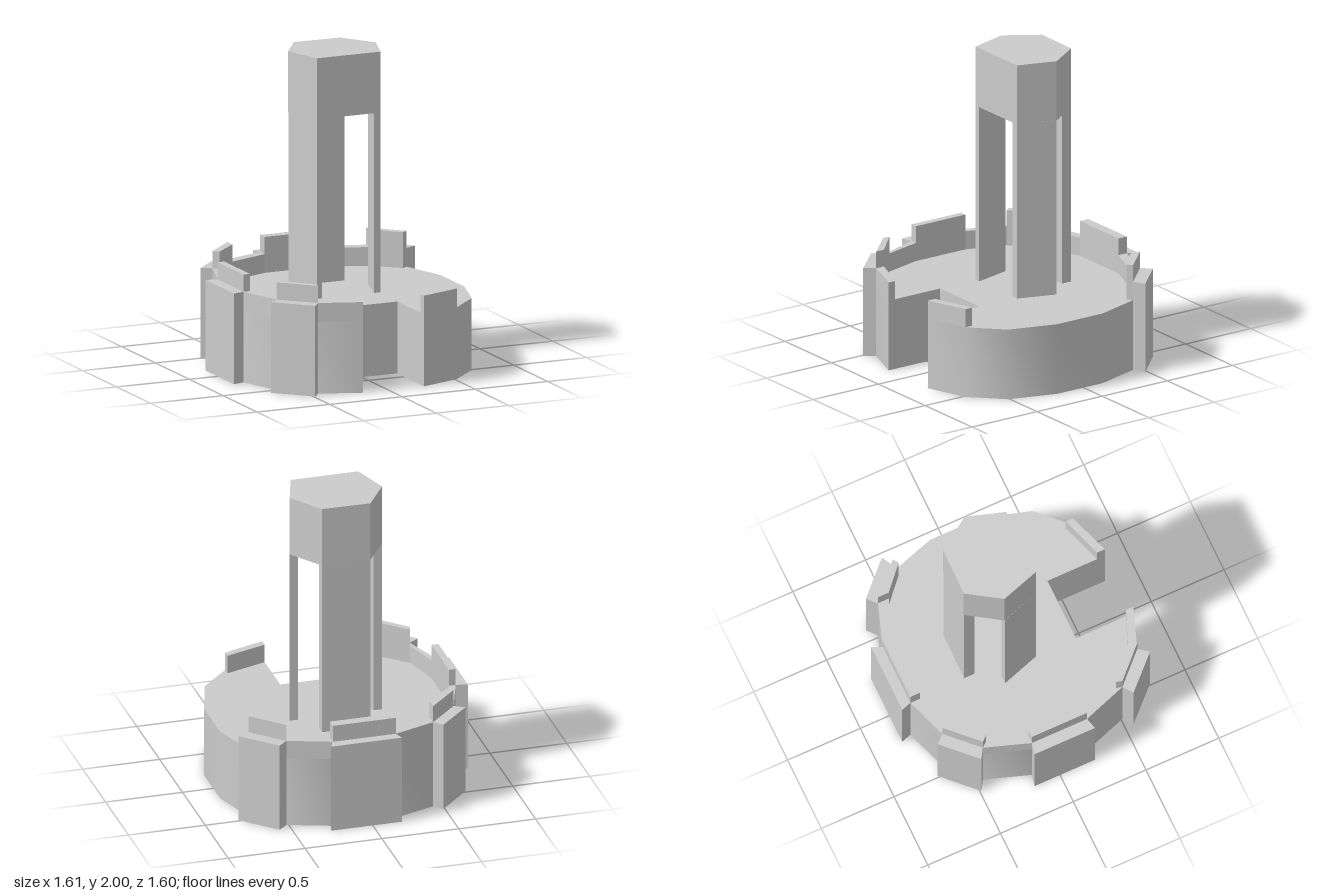
import * as THREE from 'three';
import { toCreasedNormals } from 'three/addons/utils/BufferGeometryUtils.js';

const FLOOR = 0.46, WALL = 0.58, MERLON = 0.69, ARCH = 1.61, TOP = 2;

// Upright prism from a plan of [x, z] corners
function prism(plan, y0, y1) {
  const shape = new THREE.Shape(plan.map(([x, z]) => new THREE.Vector2(x, -z)));
  const geo = new THREE.ExtrudeGeometry(shape, { depth: y1 - y0, bevelEnabled: false });
  return geo.rotateX(-Math.PI / 2).translate(0, y0, 0);
}

// Use rounded normals on the plain curved flank only, leave the rest faceted
function roundFlank(geo) {
  const smooth = toCreasedNormals(geo, 0.6).attributes.normal;
  const { position: p, normal: n } = geo.attributes;
  for (let i = 0; i < p.count; i += 3) {
    const cx = (p.getX(i) + p.getX(i + 1) + p.getX(i + 2)) / 3;
    const cz = (p.getZ(i) + p.getZ(i + 1) + p.getZ(i + 2)) / 3;
    if (Math.abs(n.getY(i)) > 0.5 || cx < 0.3 || cz < -0.45) continue;
    for (let k = i; k < i + 3; k++) n.setXYZ(k, smooth.getX(k), smooth.getY(k), smooth.getZ(k));
  }
  return geo;
}

export function createModel() {
  const group = new THREE.Group();
  const material = new THREE.MeshStandardMaterial({ color: 0xcccccc });
  const add = (name, geo) => {
    const mesh = new THREE.Mesh(geo, material);
    mesh.name = name;
    group.add(mesh);
  };

  // Walled side of the plan, from the notch round the left and back
  const outer = [[-0.175, 0.795], [-0.44, 0.7], [-0.63, 0.51], [-0.73, 0.22], [-0.73, -0.16],
    [-0.63, -0.45], [-0.44, -0.64], [-0.17, -0.735], [0.24, -0.735], [0.515, -0.64], [0.705, -0.45]];
  const inner = [[-0.175, 0.745], [-0.44, 0.64], [-0.62, 0.47], [-0.685, 0.22], [-0.685, -0.16],
    [-0.6, -0.415], [-0.44, -0.565], [-0.17, -0.67], [0.24, -0.67], [0.515, -0.565], [0.67, -0.425]];
  // Open side of the plan and the entrance notch
  const flank = [[0.8, -0.15], [0.8, 0.2], [0.705, 0.51], [0.515, 0.7], [0.245, 0.795]];
  const notch = [[0.245, 0.4], [-0.175, 0.4]];

  // Base and parapets
  add('base', roundFlank(prism([...outer, ...flank, ...notch], 0, FLOOR)));
  add('parapet', prism([...outer, ...[...inner].reverse()], FLOOR, WALL));
  add('parapetStub', prism([[0.245, 0.795], [0.515, 0.7], [0.515, 0.65], [0.245, 0.74]], FLOOR, WALL));

  // Flared buttresses with a merlon above, keyed by wall face
  const flares = {
    1: [[-0.49, 0.765], [-0.695, 0.555]],
    3: [[-0.805, 0.24], [-0.805, -0.175]],
    5: [[-0.695, -0.49], [-0.49, -0.695]],
    7: [[-0.19, -0.8], [0.27, -0.8]],
    9: [[0.575, -0.695], [0.78, -0.49]],
  };
  for (const [key, [a, b]] of Object.entries(flares)) {
    const i = Number(key);
    add('buttress', prism([outer[i], a, b, outer[i + 1]], 0, WALL));
    add('merlon', prism([outer[i], outer[i + 1], inner[i + 1], inner[i]], WALL, MERLON));
  }

  // Tower: hexagonal head on two side pillars and a back post
  add('towerHead', prism([[-0.12, -0.345], [0.195, -0.34], [0.34, -0.125], [0.26, 0.123],
    [-0.18, 0.123], [-0.26, -0.13]], ARCH, TOP));
  add('rightPillar', prism([[-0.18, 0.123], [-0.26, -0.125], [-0.205, -0.125], [-0.143, 0.123]], FLOOR, ARCH));
  add('leftPillar', prism([[0.26, 0.123], [0.34, -0.122], [0.285, -0.122], [0.213, 0.123]], FLOOR, ARCH));
  add('backPost', prism([[-0.122, -0.343], [0.193, -0.34], [0.193, -0.27], [-0.122, -0.27]], FLOOR, ARCH));
  return group;
}
